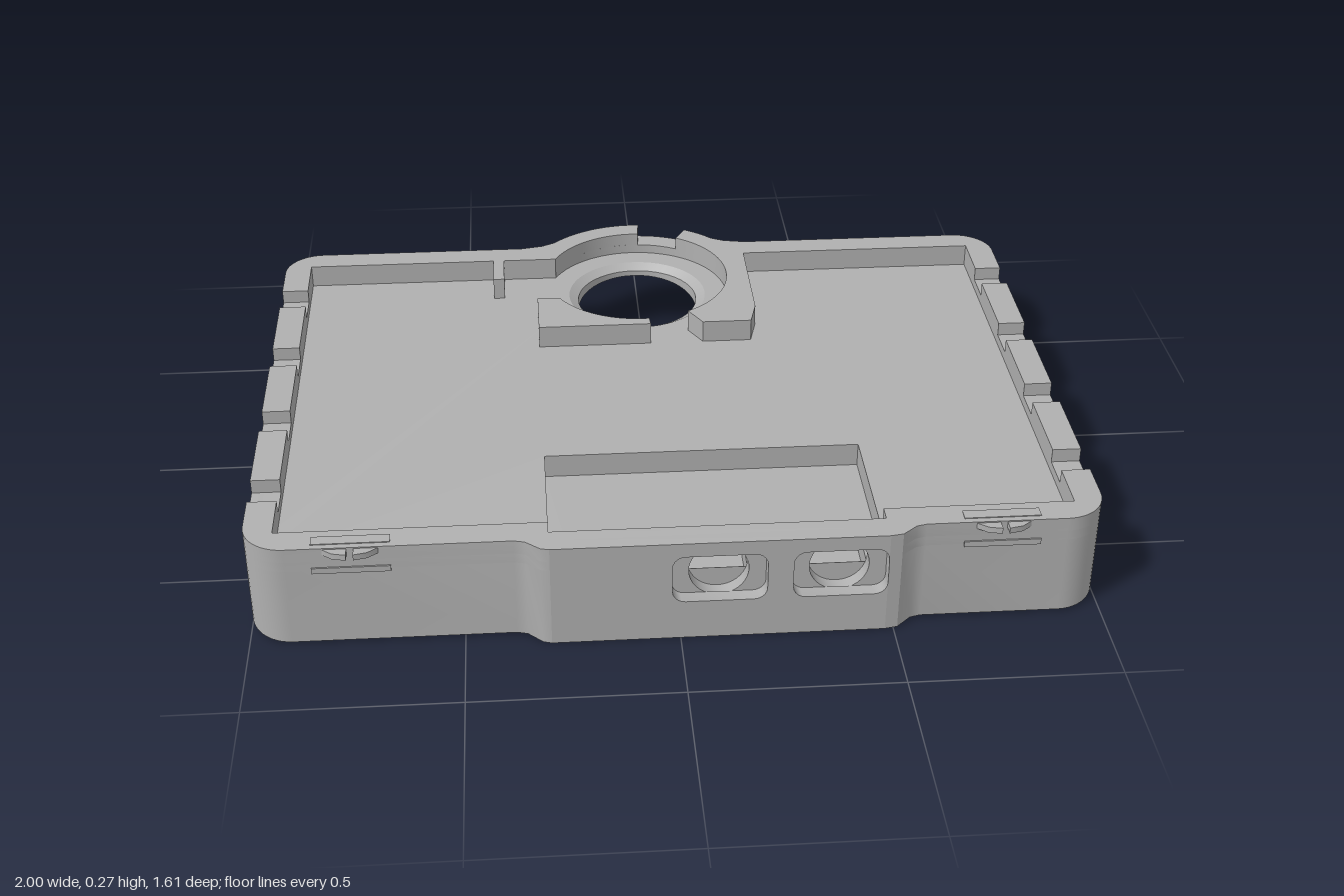
import * as THREE from 'three';
import { toCreasedNormals } from 'three/addons/utils/BufferGeometryUtils.js';

const TOP = 0.27, NOTCH = 0.235, FLOOR = 0.21;
const RX = -0.02, RZ = -0.5; // centre of the round opening
const underside = z => 0.1 - 0.12 * z;

// Points [x, z] on an arc, angles in degrees
function arc(cx, cz, r, a0, a1, n = 12) {
  return Array.from({ length: n + 1 }, (_, i) => {
    const a = THREE.MathUtils.degToRad(a0 + (a1 - a0) * i / n);
    return [cx + r * Math.cos(a), cz + r * Math.sin(a)];
  });
}
const ring = (r, a0, a1, n = 24) => arc(RX, RZ, r, a0, a1, n);
const rect = (x0, z0, x1, z1) => [[x0, z0], [x1, z0], [x1, z1], [x0, z1]];
const vecs = pts => pts.map(p => new THREE.Vector2(p[0], p[1]));

function extrude(pts, holes, depth) {
  const shape = new THREE.Shape(vecs(pts));
  holes.forEach(h => shape.holes.push(new THREE.Path(vecs(h))));
  return new THREE.ExtrudeGeometry(shape, { depth, bevelEnabled: false });
}

export function createModel() {
  const model = new THREE.Group();
  const grey = new THREE.MeshStandardMaterial({ color: 0xb0b0b0 });
  grey.name = 'light grey';

  function add(name, geometry) {
    const mesh = new THREE.Mesh(toCreasedNormals(geometry, 0.5), grey);
    mesh.name = name;
    model.add(mesh);
    return mesh;
  }
  // Horizontal slab; without a bottom height it ends on the sloping underside
  function slab(name, pts, top, bottom = null, holes = []) {
    const g = extrude(pts, holes, bottom === null ? 1 : top - bottom);
    g.rotateX(Math.PI / 2).translate(0, top, 0);
    if (bottom === null) {
      const p = g.attributes.position;
      for (let i = 0; i < p.count; i++) {
        if (p.getY(i) < top - 0.5) p.setY(i, underside(p.getZ(i)));
      }
    }
    return add(name, g);
  }

  // Outer outline, in pieces
  const frontLeft = [[0.48, 0.8], [0.51, 0.795], [0.545, 0.766], [0.57, 0.76], ...arc(0.9, 0.66, 0.1, 90, 0)];
  const frontRight = [...arc(-0.9, 0.66, 0.1, 180, 90), [-0.38, 0.76], [-0.355, 0.766], [-0.32, 0.795], [-0.3, 0.8]];
  const backLeft = [...arc(0.9, -0.58, 0.1, 0, -90), [0.3, -0.68], [0.24, -0.692], ...ring(0.308, -43, -60, 6)];
  const backRight = [...ring(0.308, -86, -137, 14), [-0.28, -0.692], [-0.34, -0.68], ...arc(-0.9, -0.58, 0.1, -90, -180)];
  const outer = [...frontLeft, ...backLeft, ...ring(0.308, -64, -82, 6), ...backRight, ...frontRight];

  // Inner rim edge, in pieces
  const innerRight = [[-0.93, -0.61], [-0.42, -0.61], [-0.42, -0.5], [-0.39, -0.5], [-0.39, -0.61], [-0.245, -0.61]];
  const innerLeft = [[0.14, -0.22], [0.27, -0.22], [0.29, -0.3], [0.29, -0.61], [0.93, -0.61]];

  // Wedge body with the pocket and round opening left free
  slab('wedgeBody', [...outer, [-0.3, 0.32], [0.48, 0.32]], FLOOR, null, [ring(0.19, 0, 352.5, 47)]);
  slab('openingSleeve', ring(0.19, 0, 352.5, 47), 0.195, null, [ring(0.165, 0, 352.5, 47)]);
  const chamfer = new THREE.LatheGeometry(vecs([[0.165, 0.195], [0.19, FLOOR]]), 48);
  const chamferMesh = add('openingChamfer', chamfer.translate(RX, 0, RZ));
  chamferMesh.material = grey;
  grey.side = THREE.DoubleSide;

  // Lower rim, running all the way round from one side of the front wall to the other
  slab('lowerRim', [...outer, [-0.3, 0.73], [-0.3, 0.69], [-0.93, 0.69], ...innerRight,
    ...ring(0.25, -154, 60, 48), ...innerLeft, [0.93, 0.69], [0.48, 0.69], [0.48, 0.73]], NOTCH, FLOOR);

  // Upper rim, split by the side notches and the gaps in the collar
  slab('frontLeftRim', [...frontLeft, [1, 0.56], [0.93, 0.56], [0.93, 0.69], [0.48, 0.69]], TOP, NOTCH);
  slab('frontRightRim', [...frontRight, [-0.3, 0.69], [-0.93, 0.69], [-0.93, 0.56], [-1, 0.56]], TOP, NOTCH);
  slab('backLeftRim', [[1, -0.47], ...backLeft, ...ring(0.25, -60, 60), ...innerLeft, [0.93, -0.47]], TOP, NOTCH);
  slab('backRightRim', [...backRight, [-1, -0.47], [-0.93, -0.47], ...innerRight, ...ring(0.25, -154, -86)], TOP, NOTCH);
  for (const s of [-1, 1]) {
    for (const [z0, z1] of [[-0.38, -0.155], [-0.065, 0.16], [0.25, 0.47]]) {
      slab('sideRimBlock', rect(s * 0.965 - 0.035, z0, s * 0.965 + 0.035, z1), TOP, NOTCH);
    }
  }
  slab('collarBlock', [...ring(0.25, 86, 151), [-0.3, -0.38], [-0.3, -0.22], [0, -0.22]], TOP, FLOOR);

  // Pocket floor with three small wells
  const wells = [[-0.26, -0.11], [0.02, 0.16], [0.3, 0.44]].map(([a, b]) => rect(a, 0.6, b, 0.73 - 0.001));
  slab('pocketFloor', rect(-0.3, 0.32, 0.48, 0.73), 0.15, null, wells);
  wells.forEach(w => slab('wellFloor', w, 0.1));

  // Front wall: round ports inside, rounded rectangular recesses outside
  const ports = [0.09, 0.37];
  const recess = x => {
    const w = 0.08, h = 0.033, r = 0.03;
    return [...arc(x + w, 0.17 + h, r, 0, 90, 5), ...arc(x - w, 0.17 + h, r, 90, 180, 5),
      ...arc(x - w, 0.17 - h, r, 180, 270, 5), ...arc(x + w, 0.17 - h, r, 270, 360, 5)];
  };
  function wall(name, z, depth, holes) {
    const g = extrude(rect(-0.3, 0, 0.48, TOP), holes, depth).translate(0, 0, z);
    const p = g.attributes.position;
    for (let i = 0; i < p.count; i++) {
      if (p.getY(i) < 0.01) p.setY(i, underside(p.getZ(i)));
    }
    add(name, g);
  }
  wall('frontWallInner', 0.73, 0.035, ports.map(x => arc(x, 0.17, 0.07, 0, 350, 35)));
  wall('frontWallOuter', 0.765, 0.035, ports.map(recess));

  // Small latches at the front and nubs at the back
  for (const x of [-0.75, 0.75]) {
    for (const s of [-1, 1]) {
      const tab = [[x + s * 0.008, 0.755], [x + s * 0.008, 0.785], [x + s * 0.04, 0.778], [x + s * 0.07, 0.755]];
      slab('latchTab', tab, TOP - 0.003, 0.252);
    }
    slab('latchBar', rect(x - 0.09, 0.755, x + 0.09, 0.764), 0.218, 0.203);
    slab('latchPad', rect(x - 0.09, 0.715, x + 0.09, 0.745), TOP + 0.002, TOP - 0.002);
    slab('backNub', rect(x - 0.015, -0.69, x + 0.015, -0.675), 0.25, 0.2);
  }
  return model;
}
